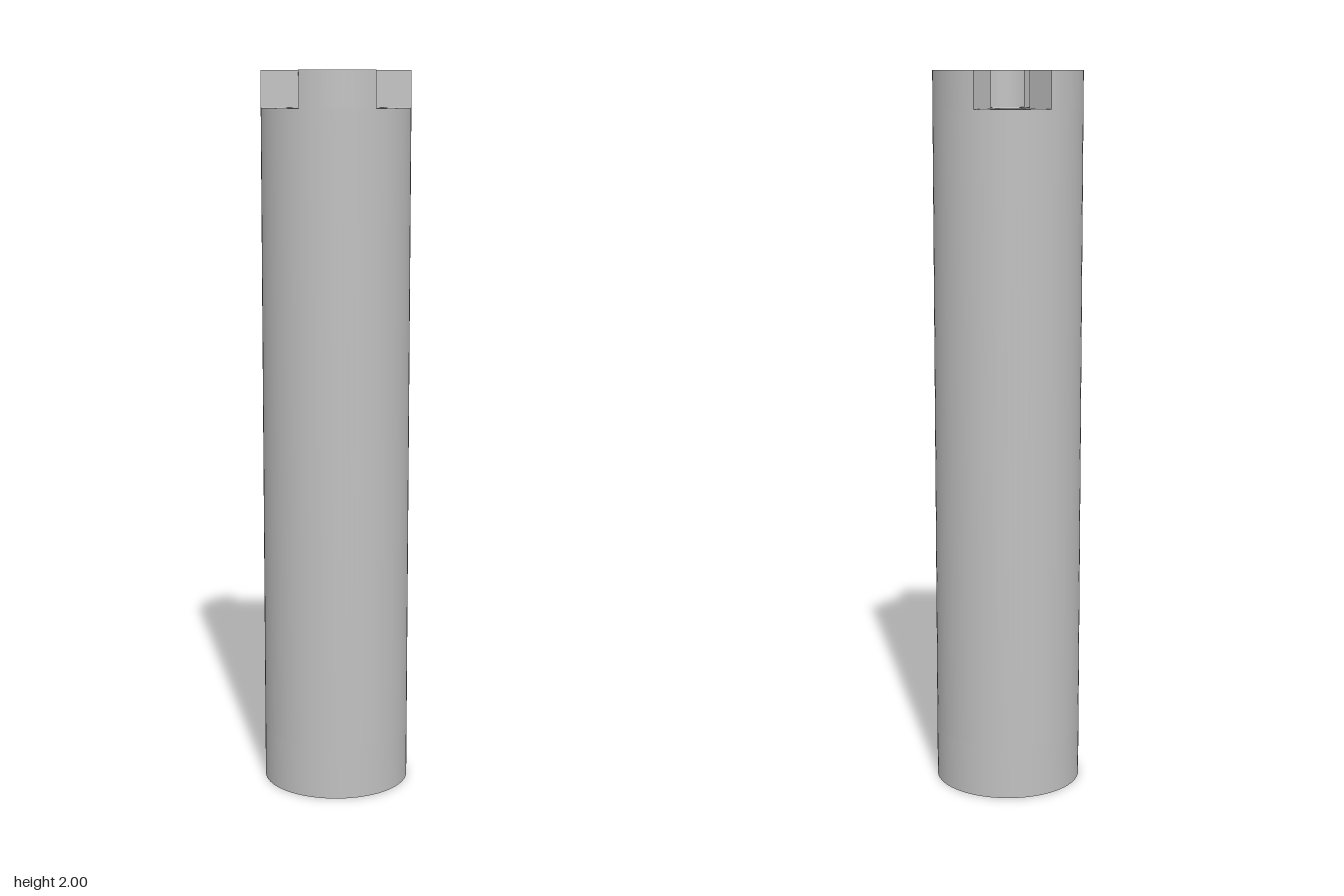
import * as THREE from 'three';
import { toCreasedNormals } from 'three/addons/utils/BufferGeometryUtils.js';

const R = 0.204;            // outer radius
const RING = 0.102;         // distance of the bores from the axis, also inner tooth radius
const BORE = 0.055;
const HEX = 0.088;          // corner radius of the hexagonal pockets
const POCKET = 0.15;        // pocket depth
const FLOOR = 1.9, TOP = 2; // foot and tip of the teeth
const THIRD = Math.PI * 2 / 3;

export function createModel() {
  const group = new THREE.Group();
  const grey = new THREE.MeshStandardMaterial({ color: 0xc0c0c0 });
  grey.name = 'plain grey';

  // Extrude a plan shape upwards between two heights
  function addPart(name, shape, y0, y1) {
    const geometry = new THREE.ExtrudeGeometry(shape, { depth: y1 - y0, bevelEnabled: false, curveSegments: 40 });
    geometry.rotateX(-Math.PI / 2);
    geometry.translate(0, y0, 0);
    const mesh = new THREE.Mesh(toCreasedNormals(geometry, Math.PI / 6), grey);
    mesh.name = name;
    group.add(mesh);
    return mesh;
  }

  // Round plan with three holes of a given outline
  function disc(makeHole) {
    const shape = new THREE.Shape();
    shape.absarc(0, 0, R, 0, Math.PI * 2, false);
    for (let i = 0; i < 3; i++) {
      const a = Math.PI + i * THIRD;
      shape.holes.push(makeHole(RING * Math.cos(a), RING * Math.sin(a)));
    }
    return shape;
  }

  const roundHole = (x, y) => new THREE.Path().absarc(x, y, BORE, 0, Math.PI * 2, true);
  const hexHole = (x, y) => new THREE.Path().setFromPoints(
    Array.from({ length: 7 }, (_, i) => new THREE.Vector2(
      x + HEX * Math.cos(-i * Math.PI / 3), y + HEX * Math.sin(-i * Math.PI / 3))));

  // Base with hexagonal pockets, then the shaft with round bores
  addPart('pocketBase', disc(hexHole), 0, POCKET);
  addPart('boredShaft', disc(roundHole), POCKET, FLOOR);

  // Three teeth, each a sixth of a ring
  const tooth = new THREE.Shape();
  tooth.absarc(0, 0, R, -Math.PI / 6, Math.PI / 6, false);
  tooth.absarc(0, 0, RING, Math.PI / 6, -Math.PI / 6, true);
  tooth.closePath();
  for (let i = 0; i < 3; i++) {
    addPart('crownTooth' + (i + 1), tooth, FLOOR, TOP).rotation.y = i * THIRD;
  }
  return group;
}
